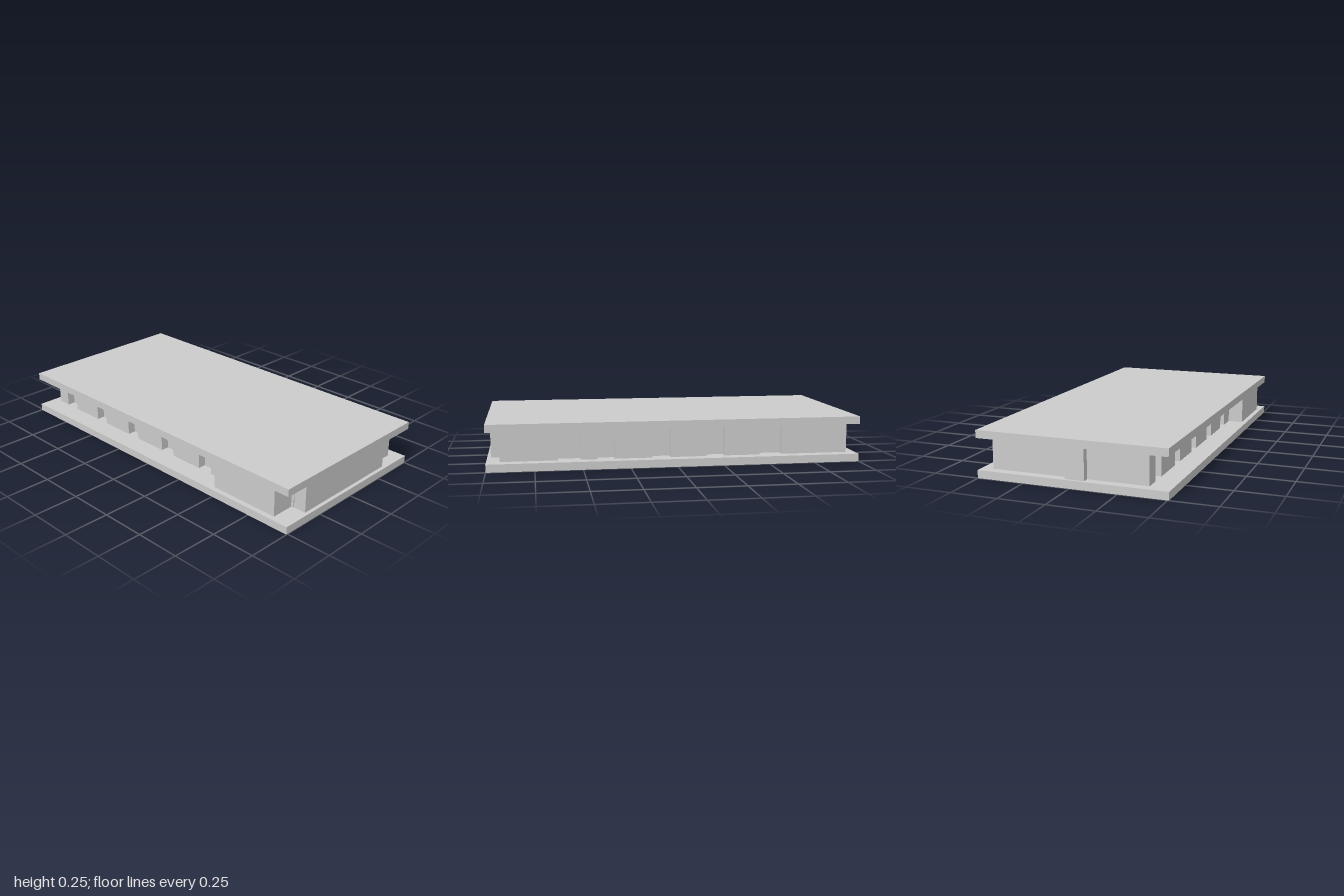
import * as THREE from 'three';

const material = new THREE.MeshStandardMaterial({ color: 0xcccccc, flatShading: true });
const FLOOR = 0.042, CEILING = 0.207, TOP = 0.248;

// Box given by its limits on each axis
function block(name, [x0, x1], [y0, y1], [z0, z1]) {
  const mesh = new THREE.Mesh(new THREE.BoxGeometry(x1 - x0, y1 - y0, z1 - z0), material);
  mesh.position.set((x0 + x1) / 2, (y0 + y1) / 2, (z0 + z1) / 2);
  mesh.name = name;
  return mesh;
}

export function createModel() {
  const model = new THREE.Group();
  model.name = 'buildingStorey';
  const wall = (name, x, z) => model.add(block(name, x, [FLOOR, CEILING], z));

  // Floor and roof slabs, very slightly offset from each other
  model.add(block('floorSlab', [-0.508, 0.502], [0, FLOOR], [-1, 1]));
  model.add(block('roofSlab', [-0.505, 0.505], [CEILING, TOP], [-1, 1]));

  // Recessed wall behind the piers
  wall('core', [-0.35, 0.395], [-0.93, 0.91]);

  // Piers along the left side
  const leftPiers = [[-0.95, -0.585], [-0.46, -0.265], [-0.165, 0.03], [0.13, 0.33], [0.42, 0.51], [0.63, 0.93]];
  for (const z of leftPiers) wall('leftPier', [0.3, 0.44], z);

  // Piers along the right side, with a wider room at the front corner
  const rightPiers = [[-0.95, -0.87], [-0.78, -0.576], [-0.493, -0.29], [-0.207, -0.005], [0.088, 0.29], [0.38, 0.5]];
  for (const z of rightPiers) wall('rightPier', [-0.395, -0.3], z);
  wall('cornerRoom', [-0.48, -0.3], [0.49, 0.895]);

  // Front bay and back wall with its narrow projecting shaft
  wall('frontBay', [-0.345, 0.31], [0.8, 0.98]);
  wall('backWall', [-0.38, 0.42], [-0.95, -0.89]);
  wall('backShaft', [-0.074, 0.03], [-0.985, -0.85]);

  return model;
}
